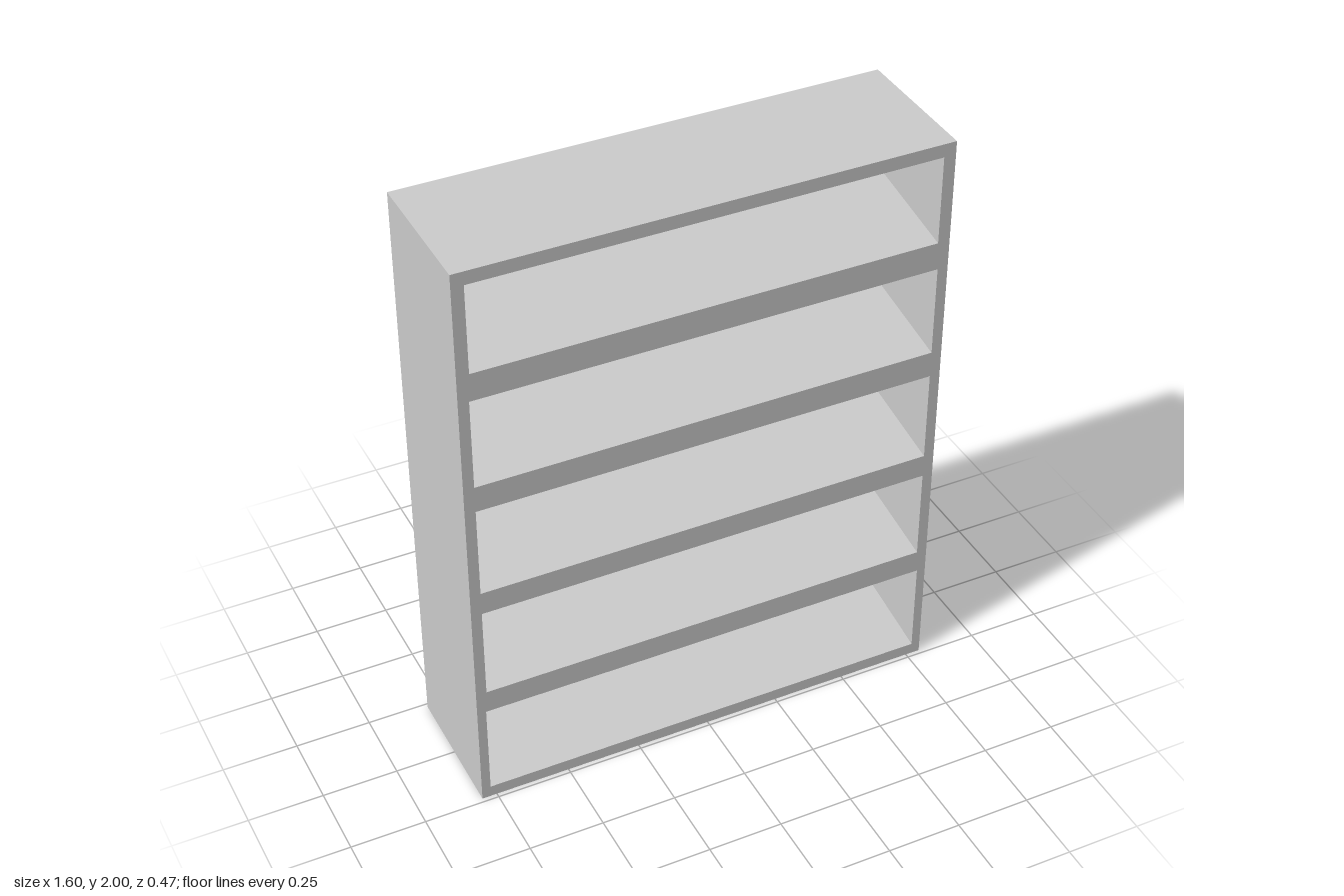
import * as THREE from 'three';

const HALF_W = 0.8, HEIGHT = 2, FRONT = 0.235, BACK = -0.235, INNER = -0.18;

// Compartments: half width, front floor, back floor, ceiling
const BAYS = [
  [0.77, 0.04, 0.12, 0.365],
  [0.765, 0.445, 0.52, 0.765],
  [0.765, 0.845, 0.92, 1.16],
  [0.765, 1.25, 1.325, 1.56],
  [0.76, 1.655, 1.73, 1.955],
];

const polygon = (Type, points) => new Type(points.map(([x, y]) => new THREE.Vector2(x, y)));
const rectangle = (Type, halfW, y0, y1) =>
  polygon(Type, [[-halfW, y0], [halfW, y0], [halfW, y1], [-halfW, y1]]);

export function createModel() {
  const group = new THREE.Group();
  group.name = 'bookcase';
  const material = new THREE.MeshStandardMaterial({ color: 0xcccccc, flatShading: true });
  const add = (name, geometry) => {
    const mesh = new THREE.Mesh(geometry, material);
    mesh.name = name;
    group.add(mesh);
  };

  // Carcass with one opening per compartment
  const outline = rectangle(THREE.Shape, HALF_W, 0, HEIGHT);
  outline.holes = BAYS.map(([w, y0, , y1]) => rectangle(THREE.Path, w, y0, y1));
  const carcass = new THREE.ExtrudeGeometry(outline, { depth: FRONT - INNER, bevelEnabled: false });
  add('carcass', carcass.translate(0, 0, INNER));

  // Back panel
  const panel = new THREE.BoxGeometry(HALF_W * 2, HEIGHT, INNER - BACK);
  add('backPanel', panel.translate(0, HEIGHT / 2, (INNER + BACK) / 2));

  // Shelf floors rising toward the back
  BAYS.forEach(([w, yFront, yBack], i) => {
    const profile = polygon(THREE.Shape, [[INNER, yFront], [FRONT, yFront], [INNER, yBack]]);
    const wedge = new THREE.ExtrudeGeometry(profile, { depth: w * 2, bevelEnabled: false });
    add(`slopedShelf${i + 1}`, wedge.rotateY(-Math.PI / 2).translate(w, 0, 0));
  });

  return group;
}
